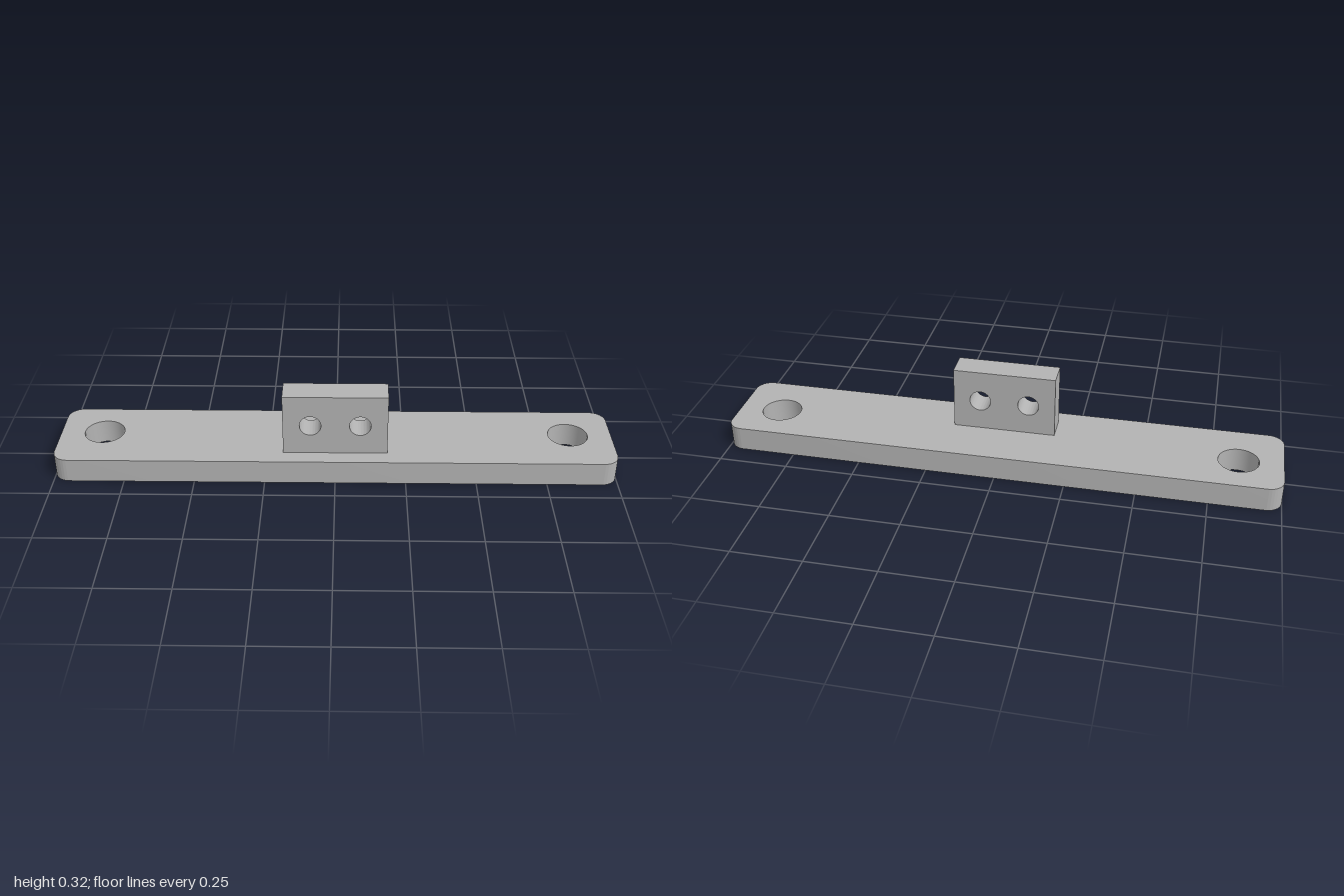
import * as THREE from 'three';
import { toCreasedNormals } from 'three/addons/utils/BufferGeometryUtils.js';

// Rectangle with rounded corners, centred on the origin
function roundedRect(w, h, r) {
  const x = w / 2, y = h / 2, s = new THREE.Shape();
  s.moveTo(-x + r, -y);
  s.lineTo(x - r, -y);
  s.absarc(x - r, -y + r, r, -Math.PI / 2, 0);
  s.lineTo(x, y - r);
  s.absarc(x - r, y - r, r, 0, Math.PI / 2);
  s.lineTo(-x + r, y);
  s.absarc(-x + r, y - r, r, Math.PI / 2, Math.PI);
  s.lineTo(-x, -y + r);
  s.absarc(-x + r, -y + r, r, Math.PI, Math.PI * 1.5);
  return s;
}

// Mirrored pair of round holes
function addHoles(shape, x, y, r) {
  for (const side of [-1, 1]) {
    shape.holes.push(new THREE.Path().absarc(side * x, y, r, 0, Math.PI * 2, true));
  }
}

function extrude(shape, depth) {
  const geo = new THREE.ExtrudeGeometry(shape, { depth, bevelEnabled: false, curveSegments: 24 });
  return toCreasedNormals(geo, 0.6);
}

export function createModel() {
  const group = new THREE.Group();
  group.name = 'mountingBracket';
  const grey = new THREE.MeshStandardMaterial({ color: 0xb3b3b3 });
  grey.name = 'plainGrey';

  // Base plate with a bolt hole near each end, laid flat (shape y becomes -z)
  const plateShape = roundedRect(2, 0.344, 0.055);
  addHoles(plateShape, 0.843, 0.016, 0.072);
  const plate = new THREE.Mesh(extrude(plateShape, 0.088).rotateX(-Math.PI / 2), grey);
  plate.name = 'basePlate';
  group.add(plate);

  // Upright block with two through holes, front to back
  const w = 0.185, y0 = 0.088, y1 = 0.316;
  const blockShape = new THREE.Shape([[-w, y0], [w, y0], [w, y1], [-w, y1]].map(p => new THREE.Vector2(...p)));
  addHoles(blockShape, 0.088, 0.2, 0.038);
  const block = new THREE.Mesh(extrude(blockShape, 0.098), grey);
  block.name = 'uprightBlock';
  block.position.z = 0.014;
  group.add(block);

  return group;
}
